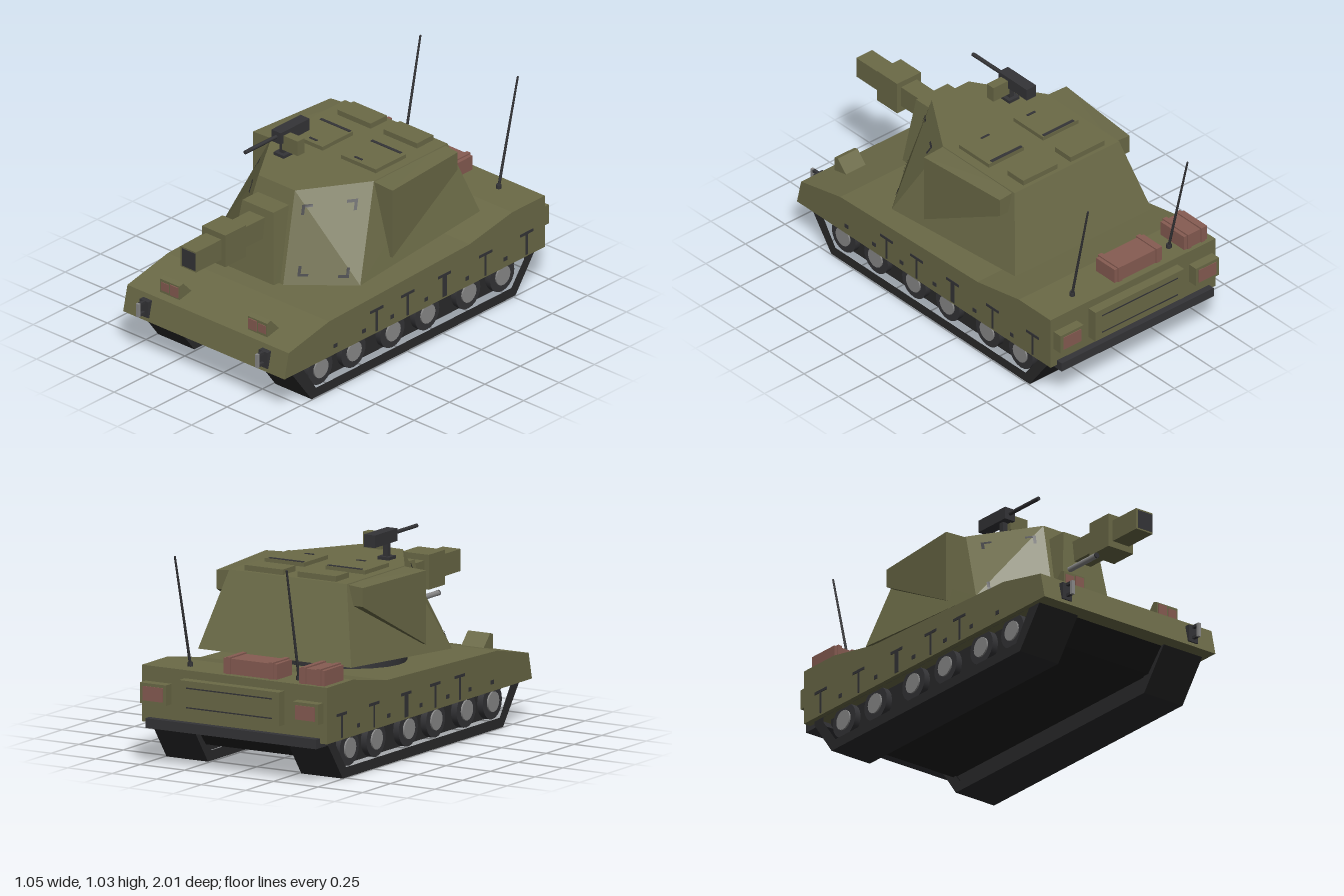
import * as THREE from 'three';
import { ConvexGeometry } from 'three/addons/geometries/ConvexGeometry.js';

const V = (x, y, z) => new THREE.Vector3(x, y, z);

export function createModel() {
  const model = new THREE.Group();
  const paint = (name, color) => {
    const m = new THREE.MeshStandardMaterial({ color });
    m.name = name;
    return m;
  };
  const olive = paint('olive armour', 0x6b6a47);
  const dark = paint('dark metal', 0x343437);
  const rubber = paint('track rubber', 0x2a2a2b);
  const black = paint('black underside', 0x1e1e1e);
  const grey = paint('grey steel', 0x8a8a8a);
  const brown = paint('brown red', 0x875c52);
  dark.side = THREE.DoubleSide;

  const add = (name, geometry, material) => {
    const mesh = new THREE.Mesh(geometry, material);
    mesh.name = name;
    model.add(mesh);
    return mesh;
  };
  // Box given by its limits on each axis
  const box = (name, mat, x0, x1, y0, y1, z0, z1) =>
    add(name, new THREE.BoxGeometry(x1 - x0, y1 - y0, z1 - z0)
      .translate((x0 + x1) / 2, (y0 + y1) / 2, (z0 + z1) / 2), mat);
  // Side profile of [z, y] points swept from x0 to x1
  const prism = (name, mat, profile, x0, x1, hole) => {
    const shape = new THREE.Shape(profile.map(p => new THREE.Vector2(...p)));
    if (hole) shape.holes.push(new THREE.Path(hole.map(p => new THREE.Vector2(...p))));
    const g = new THREE.ExtrudeGeometry(shape, { depth: x1 - x0, bevelEnabled: false });
    return add(name, g.rotateY(-Math.PI / 2).translate(x1, 0, 0), mat);
  };
  // Round bar between two points
  const rod = (name, mat, a, b, r0, r1 = r0, sides = 8) => {
    const d = b.clone().sub(a);
    const m = add(name, new THREE.CylinderGeometry(r1, r0, d.length(), sides), mat);
    m.position.copy(a).addScaledVector(d, 0.5);
    m.quaternion.setFromUnitVectors(V(0, 1, 0), d.normalize());
    return m;
  };
  // Box mirrored to both sides
  const pair = (name, mat, x0, x1, ...rest) => {
    box(name, mat, x0, x1, ...rest);
    box(name, mat, -x1, -x0, ...rest);
  };

  // Hull and underside
  prism('hull', olive, [[0.89, 0.2], [0.86, 0.33], [0.576, 0.39], [-0.42, 0.42],
    [-0.72, 0.475], [-0.95, 0.475], [-0.95, 0.2]], -0.52, 0.52);
  prism('belly', black, [[0.8, 0.2], [0.7, 0.088], [-0.79, 0.088], [-0.88, 0.2]], -0.27, 0.27);

  // Tracks and road wheels
  const outer = [[0.82, 0.2], [0.67, 0], [-0.77, 0], [-0.9, 0.18], [-0.9, 0.2]];
  const inner = [[0.74, 0.199], [0.64, 0.05], [-0.74, 0.05], [-0.83, 0.17], [-0.83, 0.199]];
  for (const s of [-1, 1]) {
    const span = (a, b) => (s > 0 ? [a, b] : [-b, -a]);
    prism('track', rubber, outer, ...span(0.262, 0.495), inner);
    prism('trackInside', rubber, inner, ...span(0.27, 0.45));
    for (const z of [0.595, 0.36, 0.085, -0.16, -0.45, -0.69]) {
      rod('roadWheel', dark, V(s * 0.44, 0.135, z), V(s * 0.482, 0.135, z), 0.086, 0.086, 20);
      rod('wheelHub', grey, V(s * 0.47, 0.135, z), V(s * 0.49, 0.135, z), 0.05, 0.05, 16);
    }
    // Skirt panel markings
    for (const z of [0.24, 0.02, -0.24, -0.53, -0.82]) {
      const w = z === -0.24 ? 0.014 : 0.006;
      box('skirtSeam', dark, ...span(0.519, 0.523), 0.21, 0.32, z - w, z + w);
      box('skirtSeamCap', dark, ...span(0.519, 0.523), 0.318, 0.332, z - 0.045, z + 0.045);
    }
    for (const z of [0.53, 0.33, 0.13, -0.11, -0.4, -0.67])
      box('skirtBolt', dark, ...span(0.519, 0.523), 0.235, 0.255, z - 0.012, z + 0.012);
  }

  // Headlights and tow hooks
  for (const s of [-1, 1]) {
    const span = (a, b) => (s > 0 ? [a, b] : [-b, -a]);
    prism('headlight', olive, [[0.82, 0.335], [0.82, 0.41], [0.795, 0.418], [0.735, 0.355], [0.74, 0.335]],
      ...span(0.22, 0.345));
    box('headlightLens', brown, ...span(0.227, 0.278), 0.347, 0.402, 0.819, 0.825);
    box('headlightLens', brown, ...span(0.288, 0.338), 0.352, 0.396, 0.819, 0.823);
    box('hookPlate', dark, ...span(0.356, 0.412), 0.22, 0.306, 0.86, 0.893);
    box('towHook', grey, ...span(0.376, 0.392), 0.235, 0.305, 0.925, 0.94);
    for (const y of [0.235, 0.291])
      box('towHookArm', dark, ...span(0.376, 0.392), y, y + 0.014, 0.89, 0.926);
  }

  // Rear panel, tail lights and bumper
  box('rearPanel', olive, -0.28, 0.28, 0.27, 0.435, -1.0, -0.945);
  for (const y of [0.305, 0.4]) box('rearPanelGroove', dark, -0.24, 0.24, y - 0.003, y + 0.003, -1.002, -0.998);
  pair('tailLight', olive, 0.355, 0.5, 0.3, 0.4, -1.0, -0.945);
  pair('tailLightLens', brown, 0.372, 0.483, 0.315, 0.385, -1.003, -0.998);
  box('rearBumper', dark, -0.48, 0.48, 0.178, 0.225, -0.985, -0.87);

  // Stowage crates with straps
  for (const [x0, x1, z0, z1] of [[-0.49, -0.345, -0.925, -0.755], [-0.215, 0.085, -0.915, -0.78]]) {
    box('crate', brown, x0, x1, 0.47, 0.55, z0, z1);
    for (const x of [x0 + 0.03, x1 - 0.03])
      box('crateStrap', brown, x - 0.012, x + 0.012, 0.47, 0.557, z0 - 0.007, z1 + 0.007);
  }

  // Whip antennas
  for (const s of [-1, 1]) {
    rod('antennaBase', dark, V(s * 0.305, 0.47, -0.86), V(s * 0.305, 0.495, -0.86), 0.014);
    rod('antenna', dark, V(s * 0.305, 0.485, -0.86), V(s * 0.314, 1.03, -0.985), 0.007, 0.005, 6);
  }

  // Turret on its ring
  const ring = add('turretRing', new THREE.CylinderGeometry(0.33, 0.33, 0.09, 24), dark);
  ring.position.set(0, 0.43, -0.03);
  ring.scale.set(1.05, 1, 0.93);
  const both = pts => pts.flatMap(([x, y, z]) => [V(x, y, z), V(-x, y, z)]);
  const a = V(0.165, 0.437, 0.51), b = V(0.452, 0.445, 0.28);
  const c = V(0.33, 0.875, 0.05), d = V(0.117, 0.875, 0.375);
  add('turret', new ConvexGeometry(both([a.toArray(), b.toArray(), c.toArray(), d.toArray(),
    [0.43, 0.5, -0.59], [0.33, 0.875, -0.47]])), olive);

  // Wedge bins on the turret flanks
  for (const s of [-1, 1]) add('sideBin', new ConvexGeometry([
    [0.45, 0.865, 0.05], [0.45, 0.505, 0.05], [0.41, 0.77, -0.455], [0.41, 0.862, -0.455],
    [0.3, 0.872, 0.05], [0.4, 0.505, 0.05], [0.3, 0.77, -0.455], [0.3, 0.872, -0.455],
  ].map(([x, y, z]) => V(s * x, y, z))), olive);

  // Corner brackets laid on the two folded cheek faces
  const onCheek = (u, v) => {
    const [o, p, q, i, j] = u + v < 1 ? [a, b, d, u, v] : [c, d, b, 1 - u, 1 - v];
    return o.clone().addScaledVector(p.clone().sub(o), i).addScaledVector(q.clone().sub(o), j)
      .add(V(0.003, 0.002, 0.004));
  };
  const bracket = (u0, u1, v0, v1, s) => {
    const flat = [[u0, v0], [u1, v0], [u1, v1], [u0, v1]]
      .flatMap(([u, v]) => { const p = onCheek(u, v); return [p.x * s, p.y, p.z]; });
    const g = new THREE.BufferGeometry();
    g.setAttribute('position', new THREE.Float32BufferAttribute(flat, 3));
    g.setIndex(s > 0 ? [0, 1, 2, 0, 2, 3] : [0, 2, 1, 0, 3, 2]);
    g.computeVertexNormals();
    add('cheekBracket', g, dark);
  };
  for (const s of [-1, 1])
    for (const [u, v, du, dv] of [[0.17, 0.09, 1, 1], [0.84, 0.08, -1, 1], [0.12, 0.85, 1, -1], [0.83, 0.85, -1, -1]]) {
      const r = (p, q) => [Math.min(p, q), Math.max(p, q)];
      bracket(...r(u, u + du * 0.14), ...r(v, v + dv * 0.03), s);
      bracket(...r(u, u + du * 0.04), ...r(v, v + dv * 0.11), s);
    }

  // Mantlet, main gun and coaxial barrel
  add('mantlet', new ConvexGeometry(both([[0.145, 0.445, 0.555], [0.1, 0.8, 0.508],
    [0.145, 0.44, 0.48], [0.1, 0.8, 0.37]])), olive);
  box('gunBarrel', olive, -0.05, 0.05, 0.652, 0.76, 0.45, 1.0);
  box('gunSleeve', olive, -0.075, 0.075, 0.62, 0.79, 0.675, 0.82);
  box('gunMuzzle', dark, -0.04, 0.048, 0.66, 0.752, 0.996, 1.002);
  rod('coaxialBarrel', grey, V(-0.085, 0.595, 0.48), V(-0.085, 0.595, 0.74), 0.014);
  rod('coaxialMuzzle', dark, V(-0.085, 0.595, 0.739), V(-0.085, 0.595, 0.745), 0.0145);

  // Roof hatches
  pair('crewHatch', olive, 0.06, 0.283, 0.87, 0.895, -0.23, -0.015);
  pair('hatchHinge', dark, 0.068, 0.26, 0.892, 0.898, -0.228, -0.212);
  pair('hatchHandle', dark, 0.12, 0.17, 0.892, 0.898, -0.05, -0.038);
  pair('rearHatch', olive, 0.042, 0.257, 0.87, 0.902, -0.45, -0.335);

  // Roof machine gun
  box('mountBase', dark, -0.205, -0.14, 0.87, 0.89, 0.108, 0.172);
  box('mountPost', dark, -0.186, -0.16, 0.885, 0.96, 0.127, 0.153);
  box('machineGunBody', dark, -0.203, -0.143, 0.957, 1.018, -0.015, 0.19);
  box('ammoBox', olive, -0.153, -0.052, 0.92, 0.998, 0.122, 0.17);
  rod('machineGunBarrel', dark, V(-0.173, 0.99, 0.18), V(-0.173, 0.99, 0.41), 0.01);

  return model;
}
